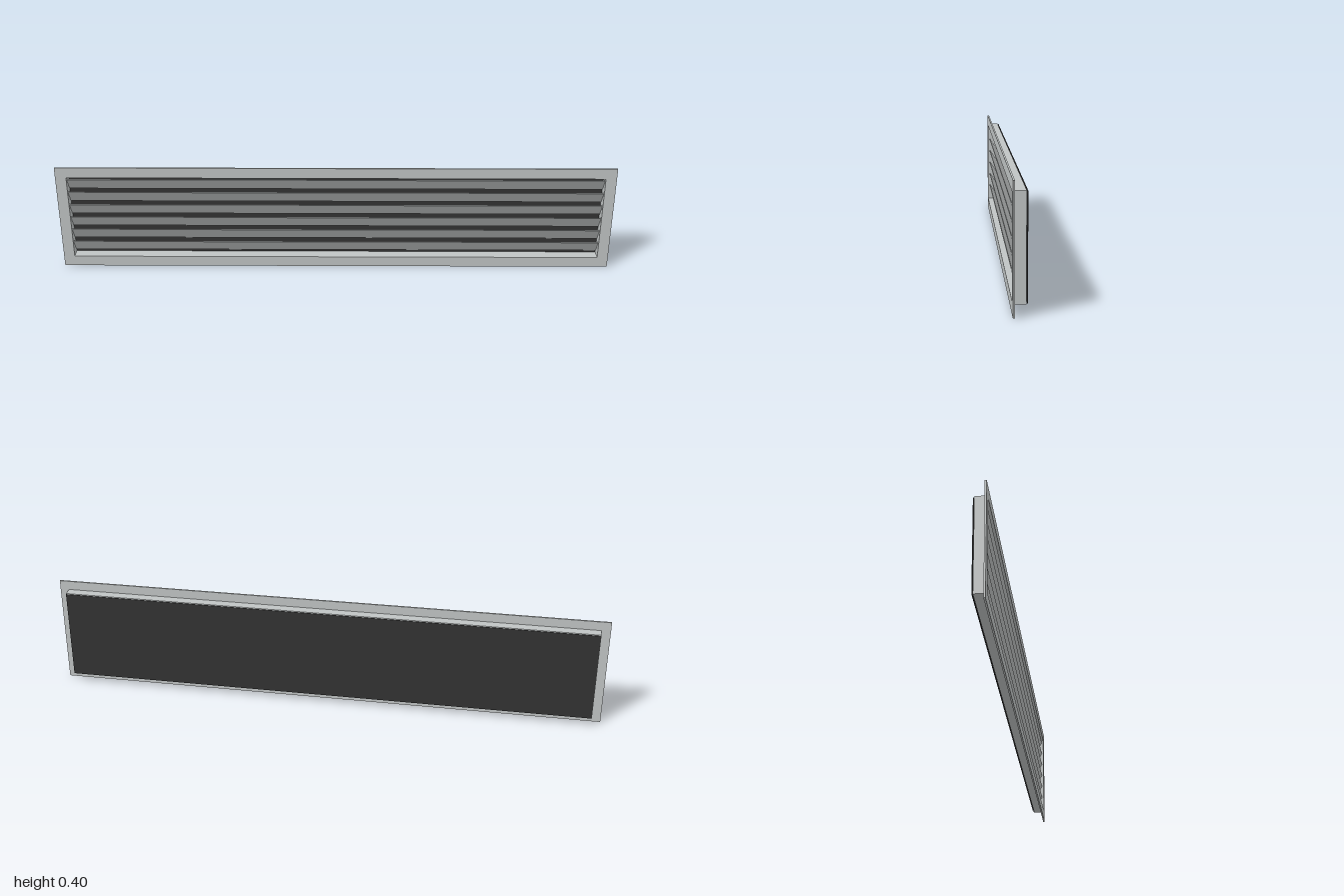
import * as THREE from 'three';

const MID = 0.2; // height of the grille's centre line

// Rectangular ring extruded from z0 to z1
function ring(outerW, outerH, innerW, innerH, z0, z1) {
  const rect = (target, w, h) => {
    target.moveTo(-w / 2, -h / 2);
    target.lineTo(w / 2, -h / 2);
    target.lineTo(w / 2, h / 2);
    target.lineTo(-w / 2, h / 2);
    target.closePath();
    return target;
  };
  const shape = rect(new THREE.Shape(), outerW, outerH);
  shape.holes.push(rect(new THREE.Path(), innerW, innerH));
  const geo = new THREE.ExtrudeGeometry(shape, { depth: z1 - z0, bevelEnabled: false });
  return geo.translate(0, MID, z0);
}

export function createModel() {
  const model = new THREE.Group();
  model.name = 'ventGrille';

  const metal = new THREE.MeshStandardMaterial({ color: 0xc0c4c4 });
  metal.name = 'light grey metal';
  const dark = new THREE.MeshStandardMaterial({ color: 0x333333 });
  dark.name = 'dark backing';

  const add = (name, geo, mat, parent = model) => {
    const mesh = new THREE.Mesh(geo, mat);
    mesh.name = name;
    parent.add(mesh);
    return mesh;
  };

  // Front flange and the shallow collar behind it
  add('flange', ring(2, 0.4, 1.922, 0.322, 0.017, 0.023), metal);
  add('collar', ring(1.934, 0.334, 1.922, 0.322, -0.0185, 0.017), metal);

  // Backing sheet, set just clear of the collar
  add('backPlate', new THREE.BoxGeometry(1.93, 0.331, 0.002), dark).position.set(0, MID, -0.022);

  // Six slanted louvre blades, front edge high and back edge low
  const blades = new THREE.Group();
  blades.name = 'louvreBlades';
  model.add(blades);
  const count = 6, pitch = 0.0505;
  const bladeGeo = new THREE.BoxGeometry(1.922, 0.058, 0.003);
  for (let i = 0; i < count; i++) {
    const blade = add('blade', bladeGeo, metal, blades);
    blade.position.set(0, MID + (i - (count - 1) / 2) * pitch, 0);
    blade.rotation.x = 0.56;
  }
  return model;
}
